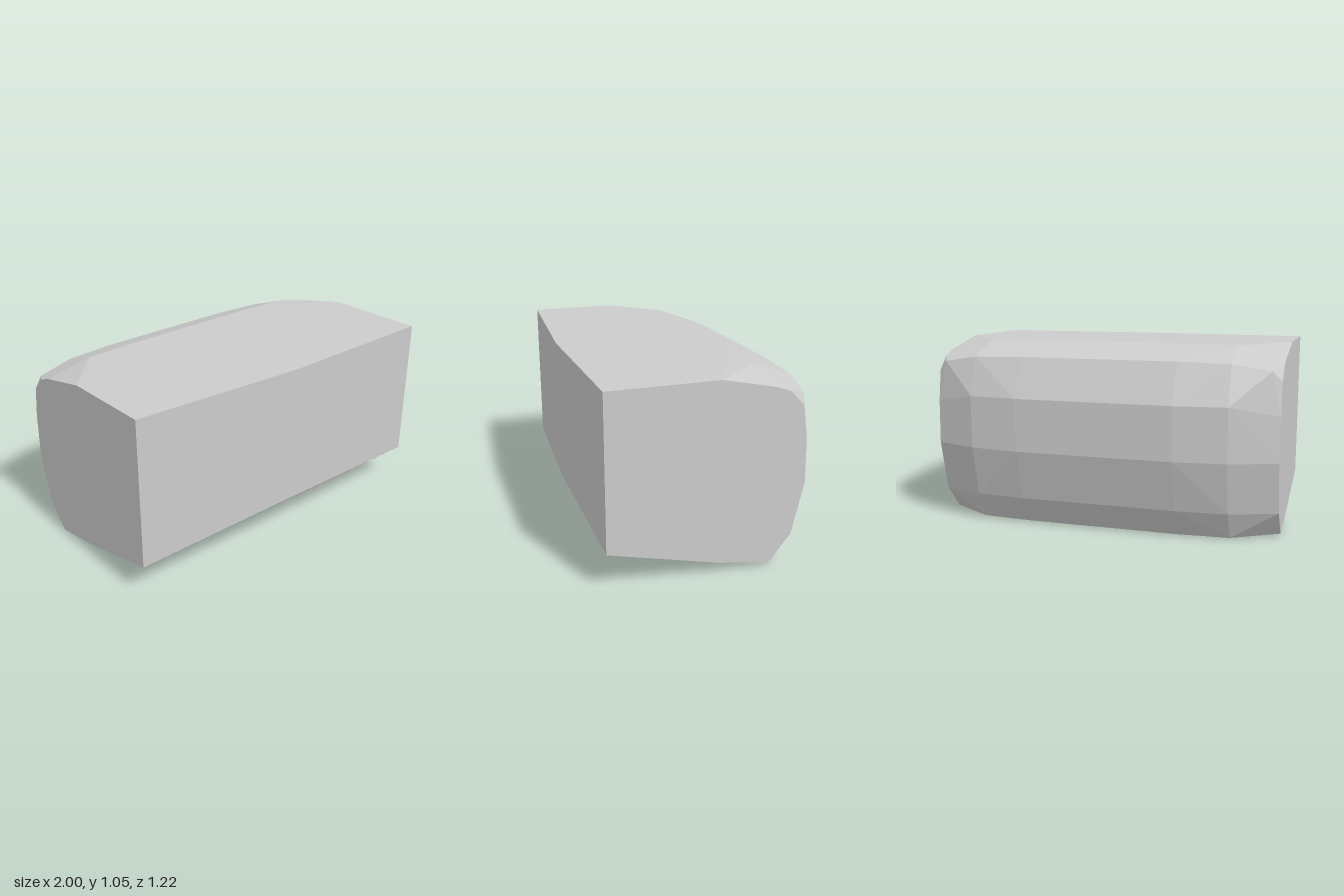
import * as THREE from 'three';
import { ConvexGeometry } from 'three/addons/geometries/ConvexGeometry.js';

// Corners of one cross-section at x, given as [z, y] pairs
const section = (x, profile) => profile.map(([z, y]) => new THREE.Vector3(x, y, z));

export function createModel() {
  const group = new THREE.Group();
  const grey = new THREE.MeshStandardMaterial({ color: 0xcccccc });
  grey.name = 'light grey';

  // Rounded back: half-widths with their profiles, from the top round to the bottom
  const backSections = [
    [0.45, [[-0.28, 1.055], [-0.515, 0.975], [-0.608, 0.75], [-0.608, 0.45], [-0.53, 0.16], [-0.435, 0]]],
    [0.74, [[-0.28, 1.048], [-0.5, 0.968], [-0.573, 0.75], [-0.573, 0.45], [-0.508, 0.16], [-0.43, 0.005]]],
    [0.95, [[-0.465, 0.935]]],
    [1, [[0.01, 1.055], [-0.29, 0.99], [-0.37, 0.96], [-0.445, 0.88], [-0.472, 0.7], [-0.478, 0.45],
      [-0.41, 0.16], [-0.285, 0.01], [0, 0.06]]],
  ];
  const points = [];
  for (const [x, profile] of backSections) {
    for (const side of [-1, 1]) points.push(...section(side * x, profile));
  }

  // Front face: flat on one half, swept back on the other
  points.push(
    ...section(-1, [[0.522, 1.055], [0.522, 0.197]]),
    ...section(0, [[0.608, 1.055], [0.608, 0.247]]),
    ...section(1, [[0.608, 1.055], [0.608, 0.213]]),
  );

  const block = new THREE.Mesh(new ConvexGeometry(points), grey);
  block.name = 'block';
  group.add(block);
  return group;
}
